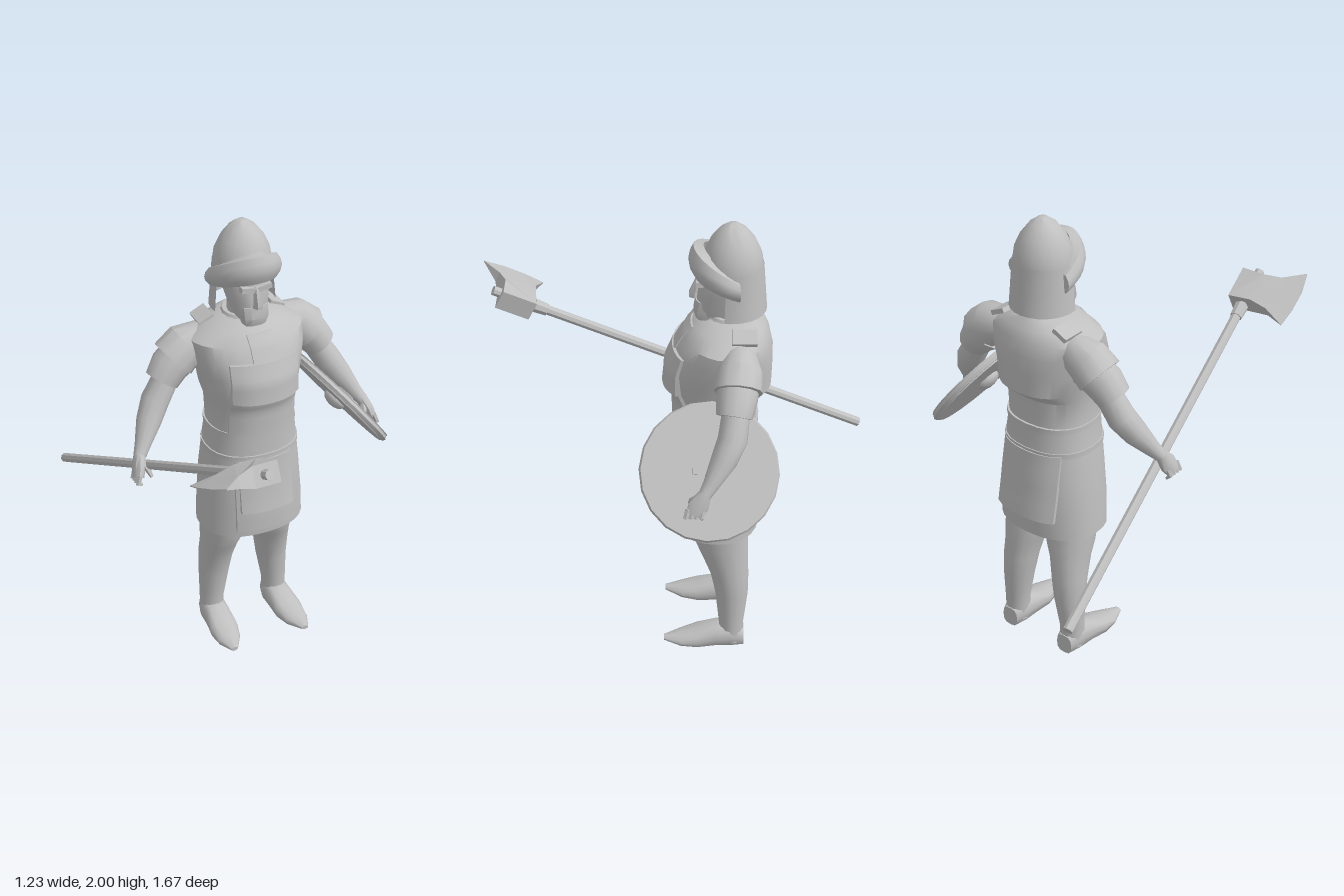
import * as THREE from 'three';
import { toCreasedNormals } from 'three/addons/utils/BufferGeometryUtils.js';

const steel = new THREE.MeshStandardMaterial({ color: 0xc0c0c0, side: THREE.DoubleSide });
steel.name = 'pale grey';
const CX = 0.02; // body's middle

function add(parent, name, geo, crease = 0.7) {
  const m = new THREE.Mesh(toCreasedNormals(geo, crease), steel);
  m.name = name;
  parent.add(m);
  return m;
}

// Rings [x, y, z, rx, rz, power] joined into a closed skin.
// dir: 'path' turns each ring across the path, a vector fixes the direction, none keeps them level.
function loft(secs, n = 16, dir = null) {
  const pos = [], idx = [], up = new THREE.Vector3(0, 1, 0), q = new THREE.Quaternion();
  const at = i => new THREE.Vector3(...secs[Math.max(0, Math.min(secs.length - 1, i))].slice(0, 3));
  secs.forEach((s, i) => {
    const [x, y, z, rx, rz = rx, p = 2] = s;
    const d = dir === 'path' ? at(i + 1).sub(at(i - 1)).normalize() : dir || up;
    q.setFromUnitVectors(up, d);
    for (let j = 0; j < n; j++) {
      const a = (j / n) * Math.PI * 2, c = Math.cos(a), t = Math.sin(a);
      const v = new THREE.Vector3(Math.sign(c) * Math.abs(c) ** (2 / p) * rx, 0, Math.sign(t) * Math.abs(t) ** (2 / p) * rz);
      v.applyQuaternion(q);
      pos.push(v.x + x, v.y + y, v.z + z);
    }
  });
  const L = secs.length, b = L * n;
  pos.push(...at(0).toArray(), ...at(L - 1).toArray());
  for (let j = 0; j < n; j++) {
    const k = (j + 1) % n, t = (L - 1) * n;
    for (let i = 0; i < L - 1; i++) {
      const o = i * n;
      idx.push(o + j, o + n + j, o + k, o + k, o + n + j, o + n + k);
    }
    idx.push(b, j, k, b + 1, t + k, t + j);
  }
  const g = new THREE.BufferGeometry();
  g.setAttribute('position', new THREE.Float32BufferAttribute(pos, 3));
  g.setIndex(idx);
  return g;
}

// Moves every vertex by a rule
function bend(g, rule) {
  const p = g.attributes.position;
  for (let i = 0; i < p.count; i++) p.setXYZ(i, ...rule(p.getX(i), p.getY(i), p.getZ(i)));
  return g;
}

// Tunic from hem to neck
const TUNIC = [
  [CX, 0.6, -0.18, 0.234, 0.182, 2.3], [CX, 0.72, -0.18, 0.228, 0.19, 2.3], [CX, 0.88, -0.18, 0.215, 0.185, 2.3],
  [CX, 1.02, -0.175, 0.2, 0.175, 2.3], [CX, 1.13, -0.17, 0.187, 0.168, 2.3], [CX, 1.24, -0.17, 0.192, 0.172, 2.3],
  [CX, 1.29, -0.185, 0.203, 0.212, 2.3], [CX, 1.38, -0.185, 0.22, 0.214, 2.2], [CX, 1.46, -0.2, 0.245, 0.198, 2.1],
  [CX, 1.52, -0.21, 0.25, 0.175, 2], [CX, 1.565, -0.22, 0.18, 0.145, 2], [CX, 1.6, -0.235, 0.085, 0.095, 2],
];

// Depth of the tunic's surface, side 1 for the front and -1 for the back
function tunicZ(x, y, side) {
  let i = 0;
  while (i < TUNIC.length - 2 && TUNIC[i + 1][1] < y) i++;
  const A = TUNIC[i], B = TUNIC[i + 1], t = (y - A[1]) / (B[1] - A[1]);
  const [, , cz, rx, rz, p] = A.map((v, k) => v + (B[k] - v) * t);
  return cz + side * rz * (1 - Math.min(1, Math.abs((x - CX) / rx)) ** p) ** (1 / p);
}

// Cloth panel that follows the tunic and flares at the bottom
function panel(g, name, w, y0, y1, side, thick, flare = 0) {
  const h = y1 - y0;
  const geo = bend(new THREE.BoxGeometry(w, h, thick, 10, 8, 1), (x, y, z) => {
    const Y = y + (y0 + y1) / 2;
    return [x + CX, Y, tunicZ(x + CX, Y, side) + z + side * flare * (0.5 - y / h) ** 2];
  });
  add(g, name, geo);
}

function buildHead(g) {
  add(g, 'neck', loft([[CX, 1.5, -0.23, 0.07, 0.08], [CX, 1.68, -0.22, 0.065, 0.07]], 12));
  const collar = add(g, 'collar', new THREE.TorusGeometry(0.082, 0.014, 6, 16).rotateX(Math.PI / 2));
  collar.position.set(CX, 1.595, -0.225);
  add(g, 'face', loft([
    [CX, 1.605, -0.175, 0.06, 0.085, 2.8], [CX, 1.64, -0.18, 0.07, 0.095, 2.8], [CX, 1.7, -0.2, 0.085, 0.11, 2.5],
    [CX, 1.75, -0.21, 0.095, 0.115, 2.5], [CX, 1.85, -0.23, 0.1, 0.11],
  ], 14));
  add(g, 'beard', loft([[CX, 1.585, -0.13, 0.05, 0.045, 3], [CX, 1.62, -0.125, 0.06, 0.05, 3], [CX, 1.67, -0.135, 0.062, 0.05, 3]], 10));
  add(g, 'nose', loft([[CX, 1.672, -0.08, 0.022, 0.025], [CX, 1.69, -0.08, 0.02, 0.026], [CX, 1.76, -0.1, 0.01, 0.015]], 6));
  for (const s of [-1, 1]) {
    const brow = add(g, 'brow', new THREE.BoxGeometry(0.06, 0.022, 0.03));
    brow.position.set(CX + s * 0.037, 1.752, -0.1);
    brow.rotation.z = s * 0.15;
  }

  // Helmet: pointed dome, neck guard and turned-up brim
  const prof = [[0.122, 0], [0.124, 0.04], [0.115, 0.1], [0.09, 0.155], [0.055, 0.2], [0.02, 0.225], [0, 0.228]];
  const dome = add(g, 'helmetDome', new THREE.LatheGeometry(prof.map(p => new THREE.Vector2(...p)), 18), 0.9);
  dome.position.set(CX, 1.772, -0.23);
  const guard = new THREE.CylinderGeometry(0.124, 0.14, 0.2, 14, 2, true, Math.PI * 0.43, Math.PI * 1.14);
  add(g, 'neckGuard', guard).position.set(CX, 1.725, -0.23);
  add(g, 'helmetBrim', bend(new THREE.BoxGeometry(3.5, 0.12, 0.04, 16, 4, 1), (a, y, z) => {
    const c = Math.cos(a), r = 0.118 + z + 0.02 * (1 - (y / 0.06) ** 2);
    return [CX + Math.sin(a) * r, 1.842 - 0.07 * (1 - c) + y * (0.7 + 0.3 * c), -0.23 + c * (r + 0.018)];
  }));
}

function buildTunic(g) {
  add(g, 'tunic', loft(TUNIC, 28), 0.6);
  panel(g, 'chestPlate', 0.3, 1.29, 1.46, 1, 0.024, 0.012);
  panel(g, 'bellyPlate', 0.3, 1.12, 1.34, 1, 0.024);
  panel(g, 'apron', 0.27, 0.64, 1.0, 1, 0.012, 0.012);
  panel(g, 'apronPouch', 0.24, 0.74, 0.99, 1, 0.022, 0.018);
  panel(g, 'backSkirt', 0.3, 0.7, 1.0, -1, 0.014, 0.025);
  panel(g, 'throatFlap', 0.11, 1.46, 1.56, 1, 0.014);
  // Belt bands
  for (const y of [1.0, 1.11]) {
    const r = y === 1 ? [0.206, 0.181] : [0.194, 0.174];
    add(g, 'belt', loft([[CX, y - 0.012, -0.174, ...r, 2.3], [CX, y + 0.012, -0.174, ...r, 2.3]], 28));
  }
  for (const s of [-1, 1]) {
    const strap = add(g, 'shoulderStrap', new THREE.BoxGeometry(0.07, 0.02, 0.1));
    strap.position.set(CX + s * 0.16, 1.573, -0.28);
    strap.rotation.z = -s * 0.45;
  }
}

function buildArm(g, s) {
  const P = rows => rows.map(([x, ...r]) => [CX + s * x, ...r]);
  const side = s > 0 ? 'left' : 'right';
  add(g, side + 'ShoulderCap', loft(P([
    [0.305, 1.415, -0.255, 0.098], [0.25, 1.465, -0.26, 0.094], [0.17, 1.49, -0.26, 0.07],
  ]), 12, 'path'));
  add(g, side + 'Sleeve', loft(P([[0.365, 1.335, -0.24, 0.072], [0.325, 1.39, -0.25, 0.082], [0.25, 1.44, -0.26, 0.085]]), 12, 'path'));
  add(g, side + 'Arm', loft(P([
    [0.522, 1.065, -0.125, 0.026], [0.497, 1.1, -0.15, 0.033], [0.445, 1.18, -0.2, 0.053],
    [0.4, 1.25, -0.235, 0.06], [0.33, 1.36, -0.25, 0.055],
  ]), 12, 'path'));
  add(g, side + 'Hand', loft(P([
    [0.545, 0.995, -0.085, 0.022, 0.035], [0.535, 1.03, -0.105, 0.026, 0.042], [0.518, 1.075, -0.13, 0.026],
  ]), 10, 'path'));
  // Fingers and thumb
  for (let i = 0; i < 4; i++) {
    const z = -0.122 + i * 0.02;
    add(g, side + 'Finger', loft(P([[0.54, 0.965 + i * 0.005, z + 0.005, 0.006], [0.558, 0.985, z + 0.008, 0.011], [0.545, 1.02, z, 0.012]]), 6, 'path'));
  }
  add(g, side + 'Thumb', loft(P([[0.495, 1.0, -0.06, 0.007], [0.505, 1.03, -0.075, 0.013], [0.52, 1.06, -0.11, 0.016]]), 6, 'path'));
}

function buildLeg(g, s) {
  const P = rows => rows.map(([x, ...r]) => [CX + s * x, ...r]);
  const side = s > 0 ? 'left' : 'right';
  add(g, side + 'Leg', loft(P([
    [0.155, 0.03, -0.25, 0.054, 0.053], [0.155, 0.13, -0.25, 0.054, 0.055], [0.142, 0.28, -0.25, 0.068, 0.072],
    [0.135, 0.38, -0.24, 0.077, 0.083], [0.125, 0.47, -0.22, 0.083, 0.1], [0.115, 0.54, -0.205, 0.1, 0.115],
    [0.113, 0.66, -0.195, 0.1, 0.115],
  ]), 14));
  add(g, side + 'Boot', loft(P([
    [0.155, 0.045, -0.306, 0.04, 0.045, 2.8], [0.155, 0.06, -0.25, 0.058, 0.06, 2.8], [0.157, 0.055, -0.18, 0.06, 0.055, 2.6],
    [0.162, 0.042, -0.1, 0.066, 0.04, 2.6], [0.168, 0.034, -0.03, 0.054, 0.028], [0.175, 0.037, 0.045, 0.016, 0.01],
  ]), 12, new THREE.Vector3(0, 0, 1)), 0.9);
}

function buildAxe() {
  const axe = new THREE.Group();
  axe.name = 'axe';
  // Local frame: x toward the blade, y along the shaft
  const d = new THREE.Vector3(0.235, 0.74, 1.43).normalize();
  const u = new THREE.Vector3(-1, 0, 0).addScaledVector(d, d.x).normalize();
  axe.quaternion.setFromRotationMatrix(new THREE.Matrix4().makeBasis(u, d, u.clone().cross(d)));
  axe.position.set(-0.595, 0.66, -0.83);
  add(axe, 'axeShaft', new THREE.CylinderGeometry(0.021, 0.021, 1.82, 8)).position.y = 0.91;
  add(axe, 'axeCollar', new THREE.CylinderGeometry(0.03, 0.026, 0.06, 8)).position.y = 1.6;
  // Head outline, thinned toward the cutting edge
  const outline = [[-0.057, 1.64], [0.045, 1.64], [0.12, 1.625], [0.207, 1.575], [0.222, 1.66], [0.224, 1.76], [0.207, 1.855], [0.12, 1.795], [0.045, 1.78], [-0.057, 1.794]];
  const geo = new THREE.ExtrudeGeometry(new THREE.Shape(outline.map(p => new THREE.Vector2(...p))), { depth: 1, bevelEnabled: false });
  add(axe, 'axeHead', bend(geo, (x, y, z) => [x, y, (z - 0.5) * (x < 0.05 ? 0.086 : Math.max(0.004, 0.086 * (0.21 - x) / 0.165))]), 0.3);
  return axe;
}

function buildShield() {
  const shield = new THREE.Group();
  shield.name = 'shield';
  const n = new THREE.Vector3(0.79, 0.61, -0.07).normalize();
  shield.quaternion.setFromUnitVectors(new THREE.Vector3(0, 1, 0), n);
  shield.position.set(0.432, 1.105, -0.145);
  add(shield, 'shieldBoard', new THREE.CylinderGeometry(0.275, 0.265, 0.036, 20));
  add(shield, 'shieldRim', new THREE.TorusGeometry(0.268, 0.014, 6, 20).rotateX(Math.PI / 2));
  // Boss on the outer face, grip behind
  const boss = add(shield, 'shieldBoss', new THREE.SphereGeometry(0.055, 12, 8));
  boss.scale.y = 0.6;
  boss.position.y = -0.02;
  add(shield, 'shieldGrip', new THREE.BoxGeometry(0.03, 0.02, 0.14)).position.y = 0.025;
  return shield;
}

export function createModel() {
  const model = new THREE.Group();
  model.name = 'axeWarrior';
  buildHead(model);
  buildTunic(model);
  for (const s of [-1, 1]) {
    buildArm(model, s);
    buildLeg(model, s);
  }
  model.add(buildAxe(), buildShield());
  return model;
}
